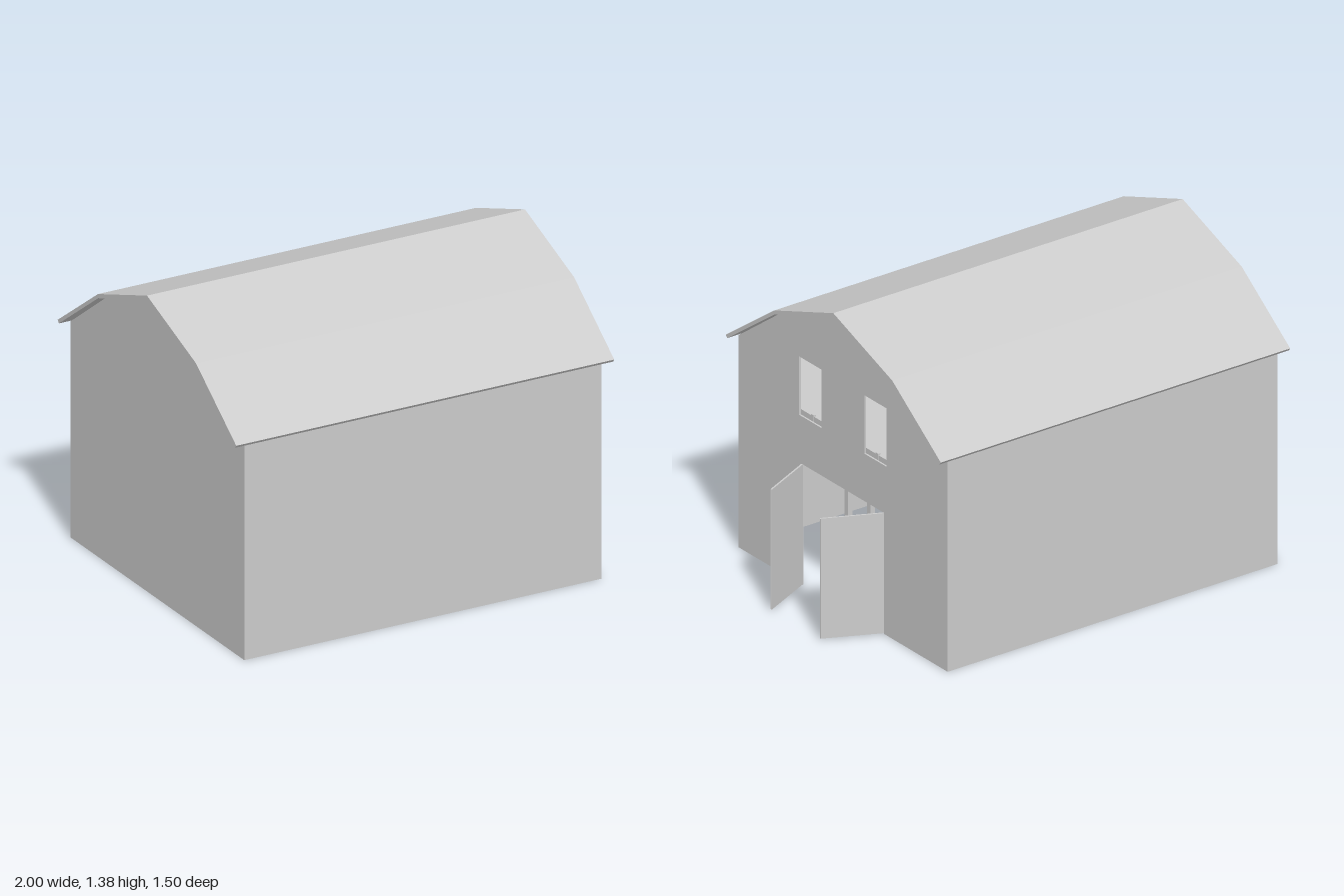
import * as THREE from 'three';

const material = new THREE.MeshStandardMaterial({ color: 0xcccccc, flatShading: true, side: THREE.DoubleSide });

export function createModel() {
  const barn = new THREE.Group();
  barn.name = 'barn';

  const add = (name, geometry, parent = barn) => {
    const mesh = new THREE.Mesh(geometry, material);
    mesh.name = name;
    parent.add(mesh);
    return mesh;
  };

  // Box given by its minimum and maximum corners
  const box = (name, min, max, parent) => {
    const size = max.map((v, i) => v - min[i]);
    const mesh = add(name, new THREE.BoxGeometry(...size), parent);
    mesh.position.set(...max.map((v, i) => (v + min[i]) / 2));
    return mesh;
  };

  // Cross-section in (z, y) extruded from xMax towards -x
  const extrudeX = (name, shape, xMax, depth) => {
    const geometry = new THREE.ExtrudeGeometry(shape, { depth, bevelEnabled: false });
    geometry.rotateY(-Math.PI / 2);
    const mesh = add(name, geometry);
    mesh.position.x = xMax;
    return mesh;
  };
  const outline = (points) => new THREE.Shape(points.map(([z, y]) => new THREE.Vector2(z, y)));

  const wall = 0.008;
  const eaves = [[-0.73, 0.98], [-0.41, 1.217], [0, 1.362], [0.41, 1.217], [0.73, 0.98]];

  // Front gable with doorway cut from the bottom edge and two windows
  const front = outline([
    [-0.73, 0], ...eaves, [0.73, 0],
    [0.285, 0], [0.285, 0.56], [-0.285, 0.56], [-0.285, 0],
  ]);
  for (const [a, b] of [[-0.305, -0.15], [0.15, 0.305]]) {
    front.holes.push(new THREE.Path([
      new THREE.Vector2(a, 0.78), new THREE.Vector2(b, 0.78),
      new THREE.Vector2(b, 1.05), new THREE.Vector2(a, 1.05),
    ]));
  }
  extrudeX('doorGable', front, 0.755, wall);
  extrudeX('plainGable', outline([[-0.73, 0], ...eaves, [0.73, 0]]), -0.95 + wall, wall);

  // Long side walls
  for (const s of [-1, 1]) {
    const inner = s * (0.73 - wall), outer = s * 0.73;
    box('sideWall', [-0.95, 0, Math.min(inner, outer)], [0.755, 0.98, Math.max(inner, outer)]);
  }

  // Gambrel roof shell
  extrudeX('roof', outline([
    [-0.75, 0.99], [-0.412, 1.235], [0, 1.385], [0.412, 1.235], [0.75, 0.99],
    [0.74, 0.977], [0.41, 1.217], [0, 1.362], [-0.41, 1.217], [-0.74, 0.977],
  ]), 0.805, 1.805);

  // Open doors, swung outwards and mirrored
  const angle = Math.atan2(0.115, 0.245);
  for (const s of [-1, 1]) {
    const hinge = new THREE.Group();
    hinge.name = 'door';
    hinge.position.set(0.755, 0, s * 0.285);
    hinge.rotation.y = s * angle;
    box('doorPanel', [0, 0.005, -0.004], [0.27, 0.56, 0.004], hinge);
    barn.add(hinge);
    box('windowLatch', [0.735, 0.78, s * 0.225 - 0.01], [0.747, 0.81, s * 0.225 + 0.01]);
  }

  // Loft behind the windows
  box('loftFloor', [0.35, 0.775, -0.46], [0.745, 0.803, 0.722]);

  // Corner staircase: each tread rests on its own post
  const pitch = 0.115, rise = 0.0378, tread = 0.09, half = 0.145;
  const stairs = new THREE.Group();
  stairs.name = 'stairs';
  barn.add(stairs);
  const step = (x, z, hx, hz, top) => {
    box('tread', [x - hx, top - 0.033, z - hz], [x + hx, top, z + hz], stairs);
    if (top > 0.04) box('post', [x - 0.012, 0, z - 0.012], [x + 0.012, top - 0.033, z + 0.012], stairs);
  };
  for (let i = 0; i < 9; i++) step(-0.79, -0.395 + i * pitch, half, tread / 2, 0.034 + i * rise);
  for (let i = 0; i < 11; i++) step(-0.85 + i * pitch, 0.575, tread / 2, half, 0.034 + (i + 9) * rise);

  return barn;
}
